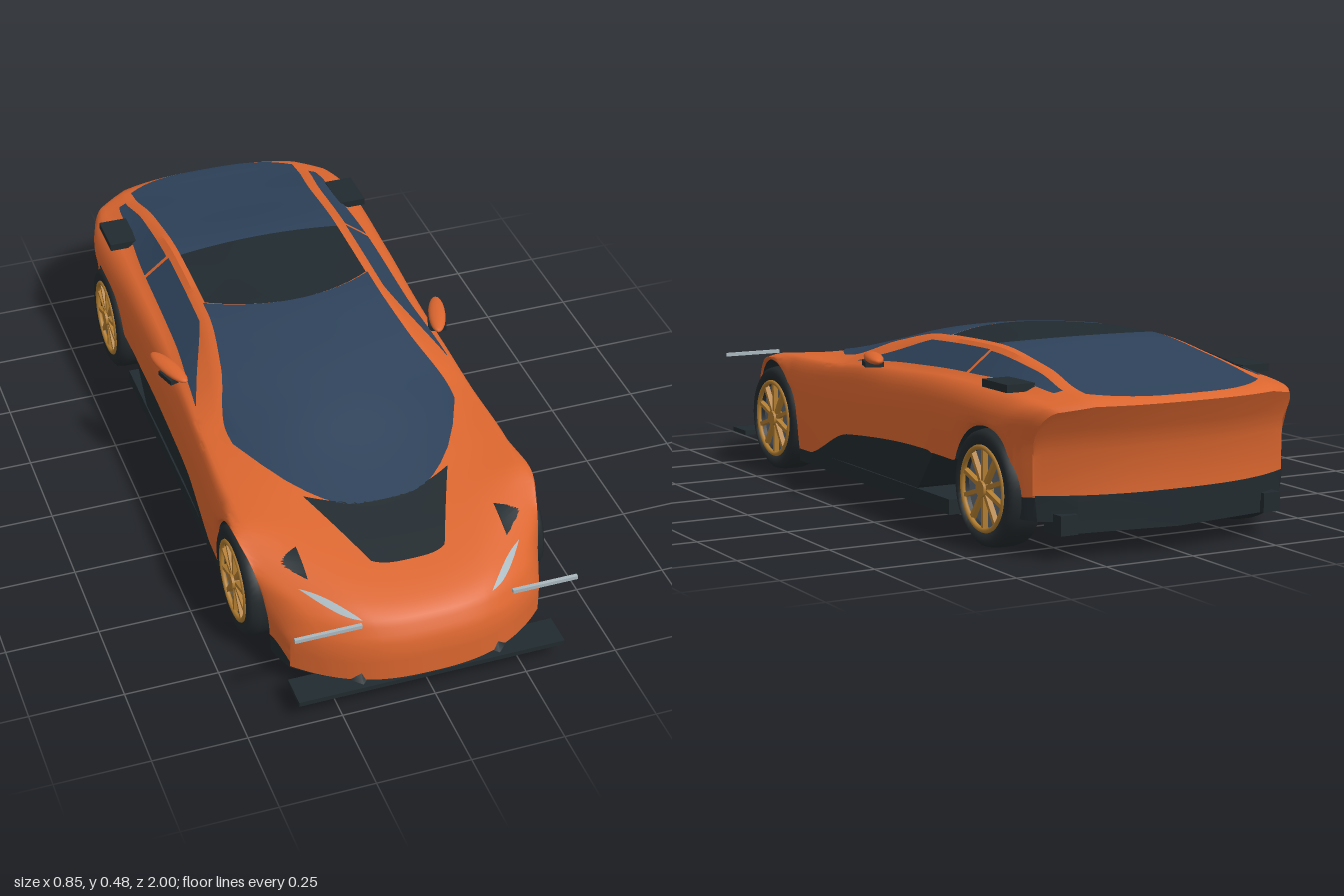
import * as THREE from 'three';
import { toCreasedNormals } from 'three/addons/utils/BufferGeometryUtils.js';

const mat = (name, color, side = THREE.FrontSide) => {
  const m = new THREE.MeshStandardMaterial({ color, side });
  m.name = name;
  return m;
};
const paint = mat('orange paint', 0xdb662f);
const glass = mat('blue glass', 0x2d4159, THREE.DoubleSide);
const dark = mat('dark trim', 0x212a2f, THREE.DoubleSide);
const rubber = mat('tyre rubber', 0x23292c);
const gold = mat('gold rim', 0xb07c30);
const grey = mat('grey brake disc', 0x5f6672);
const silver = mat('pale light', 0xa9b8bf, THREE.DoubleSide);

// Body stations, nose to tail: z, crown y, rail x y, shoulder x y, waist x y, sill x
const KEYS = [
  [0.985, 0.18, 0.15, 0.18, 0.27, 0.17, 0.34, 0.14, 0.34],
  [0.95, 0.235, 0.17, 0.235, 0.29, 0.225, 0.36, 0.16, 0.36],
  [0.88, 0.265, 0.2, 0.27, 0.32, 0.265, 0.385, 0.2, 0.375],
  [0.75, 0.295, 0.22, 0.305, 0.35, 0.312, 0.405, 0.24, 0.39],
  [0.6, 0.325, 0.25, 0.332, 0.37, 0.34, 0.41, 0.27, 0.4],
  [0.45, 0.36, 0.3, 0.35, 0.38, 0.346, 0.41, 0.27, 0.4],
  [0.25, 0.415, 0.328, 0.362, 0.375, 0.352, 0.4, 0.27, 0.395],
  [0.05, 0.458, 0.278, 0.425, 0.365, 0.372, 0.396, 0.28, 0.39],
  [-0.15, 0.481, 0.252, 0.465, 0.35, 0.385, 0.396, 0.3, 0.39],
  [-0.45, 0.48, 0.25, 0.474, 0.345, 0.4, 0.402, 0.32, 0.395],
  [-0.7, 0.442, 0.255, 0.446, 0.338, 0.402, 0.41, 0.32, 0.4],
  [-0.88, 0.412, 0.27, 0.413, 0.35, 0.392, 0.403, 0.33, 0.39],
  [-0.97, 0.4, 0.27, 0.4, 0.34, 0.385, 0.385, 0.33, 0.375],
  [-1, 0.387, 0.26, 0.386, 0.33, 0.373, 0.37, 0.32, 0.36],
];
// Upper edge of the dark lower trim: z, y
const TRIM = [[1, 0.06], [0.9, 0.06], [0.78, 0.115], [0.4, 0.07], [0.33, 0.09], [0.12, 0.17],
  [-0.35, 0.2], [-0.5, 0.1], [-0.8, 0.1], [-0.86, 0.15], [-1, 0.16]];

// Smooth interpolation of one column of a table sorted by falling z
function at(rows, z, c) {
  let i = 0;
  while (i < rows.length - 2 && z < rows[i + 1][0]) i++;
  const slope = (j) => (rows[j + 1][c] - rows[j][c]) / (rows[j + 1][0] - rows[j][0]);
  const tangent = (j) => {
    if (j === 0) return slope(0);
    if (j === rows.length - 1) return slope(j - 1);
    const a = slope(j - 1), b = slope(j);
    return a * b <= 0 ? 0 : (2 * a * b) / (a + b);
  };
  const h = rows[i + 1][0] - rows[i][0], t = (z - rows[i][0]) / h;
  return (1 + 2 * t) * (1 - t) ** 2 * rows[i][c] + t * (1 - t) ** 2 * h * tangent(i)
    + t * t * (3 - 2 * t) * rows[i + 1][c] + t * t * (t - 1) * h * tangent(i + 1);
}
const { lerp, smoothstep, clamp } = THREE.MathUtils;

// Lower edge of the side: sill, wheel arches and the vent before the rear wheel
function lowEdge(z) {
  const arch = (c, rz, ry) => (Math.abs(z - c) < rz ? 0.14 + ry * Math.sqrt(1 - ((z - c) / rz) ** 2) : 0);
  const vent = z < -0.29 && z > -0.53 ? Math.min(0.195, 0.085 + (-0.29 - z) * 1.2) : 0;
  const sill = z > 0.5 ? 0.06 : z > -0.7 ? 0.085 : 0.095;
  return Math.max(sill, vent, arch(0.6, 0.168, 0.178), arch(-0.665, 0.172, 0.168));
}

// Point on the body: v runs 0 crown, 1 rail, 2 shoulder, 3 waist, 4 trim, 5 sill, 6-8 underside
function point(z, v, s, closeY = 0, k = 0) {
  const [yA, xB, yB, xC, yC, xD, yD0, xE] = [1, 2, 3, 4, 5, 6, 7, 8].map((c) => at(KEYS, z, c));
  const front = smoothstep(z, 0.5, 0.985), back = 1 - smoothstep(z, -1, -0.7);
  const bend = (x) => (1.2 * back - 2.2 * front) * x ** 2.6;
  const zs = z + bend(xE), yE = lowEdge(zs), yD = Math.max(yD0, yE + 0.01);
  const yR = clamp(at(TRIM, zs, 1), yE, yD);
  const xAt = (y) => lerp(xD, xE, ((yD - y) / (yD - yE)) ** 2);
  const xIn = Math.min(0.27, xE - 0.05), yF = zs < -0.33 && zs > -0.5 ? 0.195 : 0.065;
  const i = Math.min(7, Math.floor(v)), u = v - i, q = (u * Math.PI) / 2;
  const yS = i === 3 ? lerp(yD, yR, u) : lerp(yR, yE, u);
  let [x, y] = [
    () => [xB * u, yA + (yB - yA) * u * u],
    () => [lerp(xB, xC, u), lerp(yB, yC, u)],
    () => [lerp(xC, xD, Math.sin(q)), lerp(yC, yD, 1 - Math.cos(q))],
    () => [xAt(yS), yS],
    () => [xAt(yS), yS],
    () => [lerp(xE, xIn, u), yE],
    () => [xIn, lerp(yE, yF, u)],
    () => [lerp(xIn, 0, u), yF],
  ][i]();
  y = lerp(y, closeY, k);
  const tuck = 0.06 * back * clamp((0.385 - y) / 0.1, 0, 1);
  return new THREE.Vector3(s * x, y, z + bend(x) + tuck);
}

// Geometry from rows of points; split(column) picks the material group
function grid(rows, split = () => 0) {
  const n = rows[0].length, idx = [[], []];
  for (let r = 0; r < rows.length - 1; r++) for (let c = 0; c < n - 1; c++) {
    const a = r * n + c;
    idx[split(c)].push(a, a + 1, a + n, a + 1, a + n + 1, a + n);
  }
  const g = new THREE.BufferGeometry().setFromPoints(rows.flat());
  g.setIndex([...idx[0], ...idx[1]]);
  g.addGroup(0, idx[0].length, 0);
  if (idx[1].length) g.addGroup(idx[0].length, idx[1].length, 1);
  g.computeVertexNormals();
  return g;
}

// Thin panel laid just above the body; f(a, b) gives station z and signed v
function panel(f, na = 24, nb = 20, lift = 0.004) {
  const rows = [];
  for (let i = 0; i <= na; i++) {
    rows.push([]);
    for (let j = 0; j <= nb; j++) {
      const [z, sv] = f(i / na, j / nb), s = sv < 0 ? -1 : 1, v = Math.abs(sv);
      const p = point(z, v, s);
      const dv = point(z, v + 0.02, s).sub(point(z, Math.max(0, v - 0.02), s));
      const n = point(z - 0.005, v, s).sub(point(z + 0.005, v, s)).cross(dv).normalize();
      if (n.dot(new THREE.Vector3(p.x, p.y - 0.2, 0)) < 0) n.negate();
      rows[i].push(p.addScaledVector(n, lift));
    }
  }
  return grid(rows);
}

export function createModel() {
  const car = new THREE.Group();
  car.name = 'sportsCar';
  const add = (name, geo, material, x = 0, y = 0, z = 0, parent = car) => {
    const m = new THREE.Mesh(geo, material);
    m.name = name;
    m.position.set(x, y, z);
    parent.add(m);
    return m;
  };
  const box = (name, m, w, h, d, x, y, z, parent) => add(name, new THREE.BoxGeometry(w, h, d), m, x, y, z, parent);

  // Body shell with wheel wells, closed at nose and tail
  const half = [];
  [8, 4, 6, 6, 1, 1, 1, 1].forEach((n, i) => { for (let j = 0; j < n; j++) half.push(i + j / n); });
  half.push(8);
  const cols = [...half.slice(1).reverse().map((v) => [v, -1]), ...half.map((v) => [v, 1])];
  const row = (z, y, k) => cols.map(([v, s]) => point(z, v, s, y, k));
  const rows = [row(0.985, 0.065, 1), row(0.985, 0.065, 0.5)];
  for (let i = 0; i <= 180; i++) rows.push(row(lerp(0.985, -1, i / 180), 0, 0));
  rows.push(row(-1, 0.16, 0.25), row(-1, 0.16, 0.5), row(-1, 0.16, 1));
  const shell = grid(rows, (c) => (Math.max(cols[c][0], cols[c + 1][0]) > 4 ? 1 : 0));
  add('bodyShell', toCreasedNormals(shell, 0.6), [paint, dark]);

  // Windscreen, roof, rear window and bonnet panel
  const side = (b) => 2 * b - 1;
  add('windscreen', panel((a, b) => {
    const t = side(b);
    return [lerp(0.6 - 0.3 * t ** 4, -0.12 - 0.08 * t * t, a), 0.96 * t];
  }), glass);
  add('roofPanel', panel((a, b) => {
    const t = side(b);
    return [lerp(-0.12 - 0.08 * t * t, -0.455 + 0.015 * t * t, a), 0.94 * t];
  }), dark);
  add('rearWindow', panel((a, b) => {
    const t = side(b);
    return [lerp(-0.455 + 0.015 * t * t, -0.975 + 0.04 * t ** 4, a), 0.94 * t];
  }), glass);
  add('bonnetPanel', panel((a, b) => {
    const t = side(b), z = lerp(0.6 - 0.06 * t * t, 0.8 - 0.015 * t ** 4, 1 - a);
    return [z, (t * lerp(0.1, 0.2, a)) / at(KEYS, z, 2)];
  }), dark);

  for (const s of [-1, 1]) {
    const part = (name) => (s > 0 ? 'left' : 'right') + name;
    // Side windows
    add(part('DoorWindow'), panel((a, b) =>
      [lerp(0.12, -0.455, a), s * lerp(lerp(1.85, 1.15, Math.min(1, a * 2.2)), 1.88, b)]), glass);
    add(part('QuarterWindow'), panel((a, b) =>
      [lerp(-0.468, -0.88, a), s * lerp(1.18, lerp(1.88, 1.45, a * a), b)]), glass);
    // Headlight slit and floating light bar
    add(part('Headlight'), panel((a, b) =>
      [0.95 - 0.07 * a + (b - 0.5) * 0.035 * Math.sin(Math.PI * a), s * (1.02 + 0.8 * a)], 14, 4), silver);
    box(part('LightBar'), silver, 0.175, 0.01, 0.01, s * 0.2875, 0.284, 0.995);
    // Wing mirror
    const cap = add(part('MirrorCap'), new THREE.SphereGeometry(1, 20, 12), paint, s * 0.39, 0.401, -0.035);
    cap.scale.set(0.024, 0.014, 0.085);
    cap.rotation.y = -s * 0.31;
    const base = box(part('MirrorBase'), dark, 0.05, 0.014, 0.06, s * 0.385, 0.384, -0.02);
    base.rotation.y = -s * 0.31;
    // Rear winglet, skirt, intake corner and diffuser fin
    box(part('Winglet'), dark, 0.08, 0.02, 0.125, s * 0.35, 0.412, -0.697);
    box(part('Skirt'), dark, 0.11, 0.04, 0.9, s * 0.34, 0.068, -0.02);
    add(part('Intake'), new THREE.ConeGeometry(0.03, 0.045, 4), dark, s * 0.185, 0.083, 0.945);
    box(part('DiffuserFin'), dark, 0.05, 0.05, 0.08, s * 0.3, 0.09, -0.87);
  }
  box('frontSplitter', dark, 0.72, 0.013, 0.09, 0, 0.056, 0.94);
  box('floor', dark, 0.57, 0.05, 0.9, 0, 0.062, -0.02);

  // Wheels
  const tyre = new THREE.LatheGeometry([[0.107, -0.046], [0.133, -0.05], [0.146, -0.04], [0.15, -0.02], [0.15, 0.02],
    [0.146, 0.04], [0.133, 0.05], [0.107, 0.046], [0.107, -0.046]].map((p) => new THREE.Vector2(...p)), 48);
  tyre.rotateZ(-Math.PI / 2);
  const disc = new THREE.CylinderGeometry(0.107, 0.107, 0.05, 40).rotateZ(Math.PI / 2);
  const rim = new THREE.TorusGeometry(0.105, 0.007, 8, 48).rotateY(Math.PI / 2);
  const hub = new THREE.CylinderGeometry(0.021, 0.021, 0.108, 20).rotateZ(Math.PI / 2);
  const spoke = new THREE.BoxGeometry(0.014, 0.092, 0.011).translate(0, 0.058, 0);
  for (const [end, z] of [['front', 0.585], ['rear', -0.665]]) for (const s of [-1, 1]) {
    const wheel = new THREE.Group();
    wheel.name = end + (s > 0 ? 'Left' : 'Right') + 'Wheel';
    wheel.position.set(s * 0.36, 0.15, z);
    car.add(wheel);
    add('tyre', tyre, rubber, 0, 0, 0, wheel);
    add('brakeDisc', disc, grey, 0, 0, 0, wheel);
    add('hub', hub, gold, 0, 0, 0, wheel);
    for (const f of [-1, 1]) {
      add('rim', rim, gold, f * 0.045, 0, 0, wheel);
      for (let i = 0; i < 10; i++) add('spoke', spoke, gold, f * 0.04, 0, 0, wheel).rotation.x = (i * Math.PI) / 5;
    }
  }
  return car;
}
